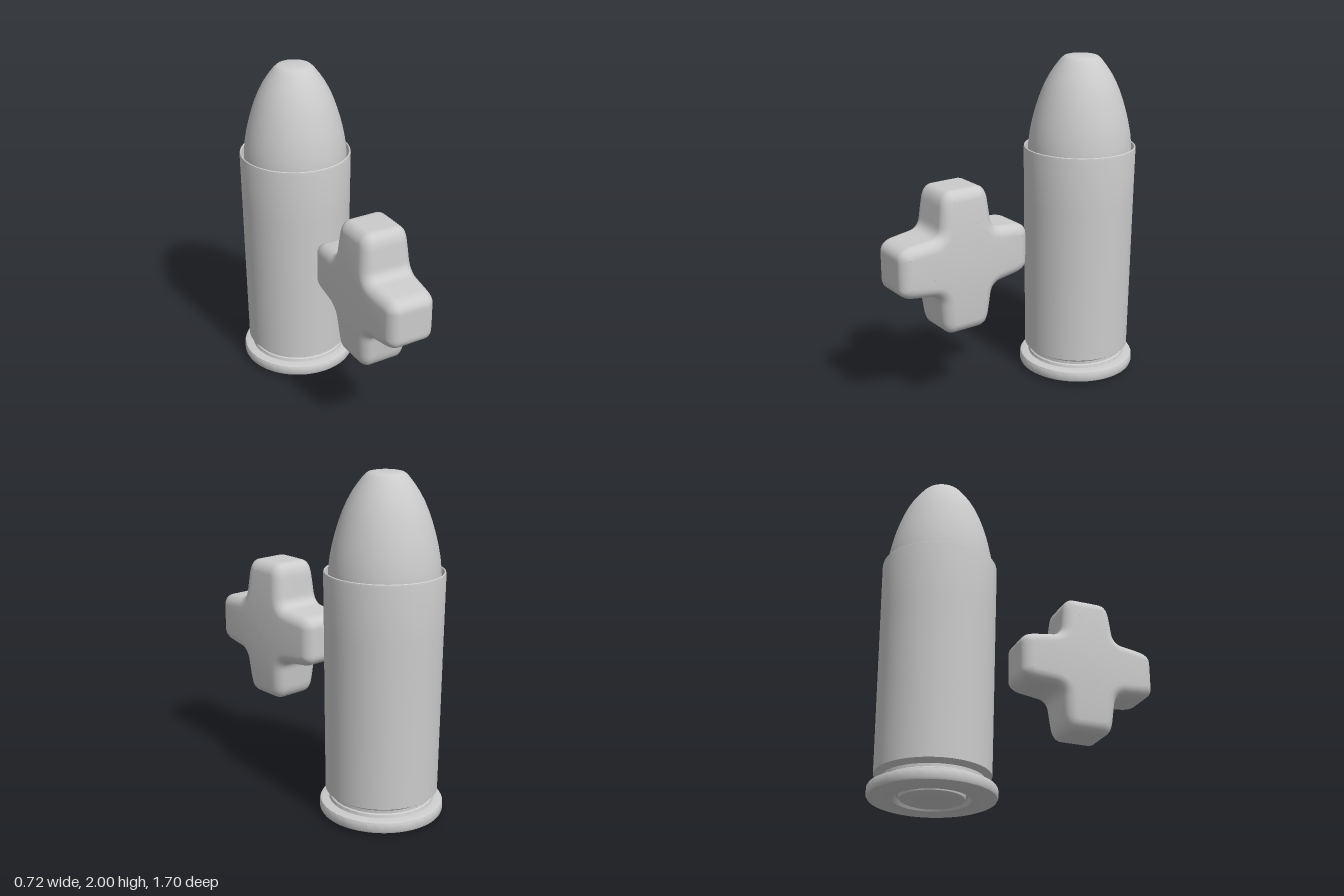
import * as THREE from 'three';
import { toCreasedNormals } from 'three/addons/utils/BufferGeometryUtils.js';

const material = new THREE.MeshStandardMaterial({ color: 0xcccccc, side: THREE.DoubleSide });

function lathe(name, profile) {
  const points = profile.map(([r, y]) => new THREE.Vector2(r, y));
  const mesh = new THREE.Mesh(toCreasedNormals(new THREE.LatheGeometry(points, 72), 0.5), material);
  mesh.name = name;
  return mesh;
}

// Plus-shaped outline with rounded tips and filleted inner corners, counterclockwise
function crossOutline(count) {
  const shape = new THREE.Shape();
  for (let k = 0; k < 4; k++) {
    const c = [1, 0, -1, 0][k], s = [0, 1, 0, -1][k];
    const p = (u, v) => [u * c - v * s, u * s + v * c];
    if (k === 0) shape.moveTo(...p(0.23, -0.168));
    shape.lineTo(...p(0.35, -0.154));
    shape.quadraticCurveTo(...p(0.425, -0.143), ...p(0.43, -0.09));
    shape.lineTo(...p(0.43, 0.09));
    shape.quadraticCurveTo(...p(0.425, 0.143), ...p(0.35, 0.154));
    shape.lineTo(...p(0.23, 0.168));
    shape.quadraticCurveTo(...p(0.175, 0.175), ...p(0.168, 0.23));
  }
  return shape.getSpacedPoints(count).slice(0, count);
}

// Soft cross: inset rings round the edge, then rings shrinking to the centre of each face
function softCross() {
  const count = 192, half = 0.17, bevel = 0.065, steps = 7;
  const outline = crossOutline(count);
  const normals = outline.map((_, i) => {
    const t = outline[(i + 1) % count].clone().sub(outline[(i + count - 1) % count]).normalize();
    return new THREE.Vector2(t.y, -t.x);
  });
  const rings = [];
  for (const s of [0, 0.2, 0.4, 0.6, 0.8]) rings.push({ inset: bevel, x: -half, s });
  for (const side of [-1, 1]) {
    for (let k = 0; k <= steps; k++) {
      const a = (side < 0 ? 1 - k / steps : k / steps) * Math.PI / 2;
      rings.push({ inset: bevel * (1 - Math.cos(a)), x: side * (half - bevel + bevel * Math.sin(a)), s: 1 });
    }
  }
  for (const s of [0.8, 0.6, 0.4, 0.2, 0]) rings.push({ inset: bevel, x: half, s });

  const positions = [], index = [];
  rings.forEach(({ inset, x, s }, j) => {
    for (let i = 0; i < count; i++) {
      const p = outline[i].clone().addScaledVector(normals[i], -inset).multiplyScalar(s);
      // arms thin slightly toward their tips
      const taper = 1 - 0.17 * (p.length() / 0.43) ** 2;
      positions.push(x * taper, p.y, -p.x);
      if (j < rings.length - 1) {
        const a = j * count + i, b = j * count + (i + 1) % count;
        index.push(a, b, b + count, a, b + count, a + count);
      }
    }
  });
  const geometry = new THREE.BufferGeometry();
  geometry.setAttribute('position', new THREE.Float32BufferAttribute(positions, 3));
  geometry.setIndex(index);
  geometry.computeVertexNormals();
  const mesh = new THREE.Mesh(geometry, material);
  mesh.name = 'softCross';
  return mesh;
}

export function createModel() {
  const group = new THREE.Group();
  group.name = 'cartridgeAndCross';

  const cartridge = new THREE.Group();
  cartridge.name = 'cartridge';
  cartridge.position.z = -0.495;
  cartridge.add(
    // Slightly domed disc set in the base
    lathe('primer', [[0, 0], [0.1, 0.004], [0.16, 0.009], [0.18, 0.018], [0.185, 0.04]]),
    // Rim, extractor groove, wall and open mouth
    lathe('case', [
      [0.185, 0.04], [0.2, 0.04], [0.215, 0.014], [0.34, 0.014], [0.355, 0.02], [0.36, 0.03],
      [0.36, 0.07], [0.355, 0.08], [0.34, 0.085], [0.305, 0.088], [0.3, 0.105], [0.292, 0.11], [0.292, 0.128],
      [0.32, 0.145], [0.327, 0.15], [0.327, 0.16], [0.332, 0.6], [0.337, 1.1], [0.341, 1.435],
      [0.339, 1.447], [0.334, 1.45], [0.329, 1.445], [0.326, 1.4], [0.312, 1.35],
    ]),
    // Curved nose with a blunt tip
    lathe('bullet', [
      [0.312, 1.35], [0.315, 1.43], [0.312, 1.47], [0.305, 1.53], [0.291, 1.6], [0.276, 1.66],
      [0.258, 1.72], [0.237, 1.78], [0.213, 1.835], [0.186, 1.885], [0.156, 1.93], [0.125, 1.97],
      [0.112, 1.983], [0.1, 1.992], [0.08, 1.997], [0, 2],
    ]),
  );
  group.add(cartridge);

  const cross = softCross();
  cross.position.set(0, 0.925, 0.417);
  group.add(cross);
  return group;
}
